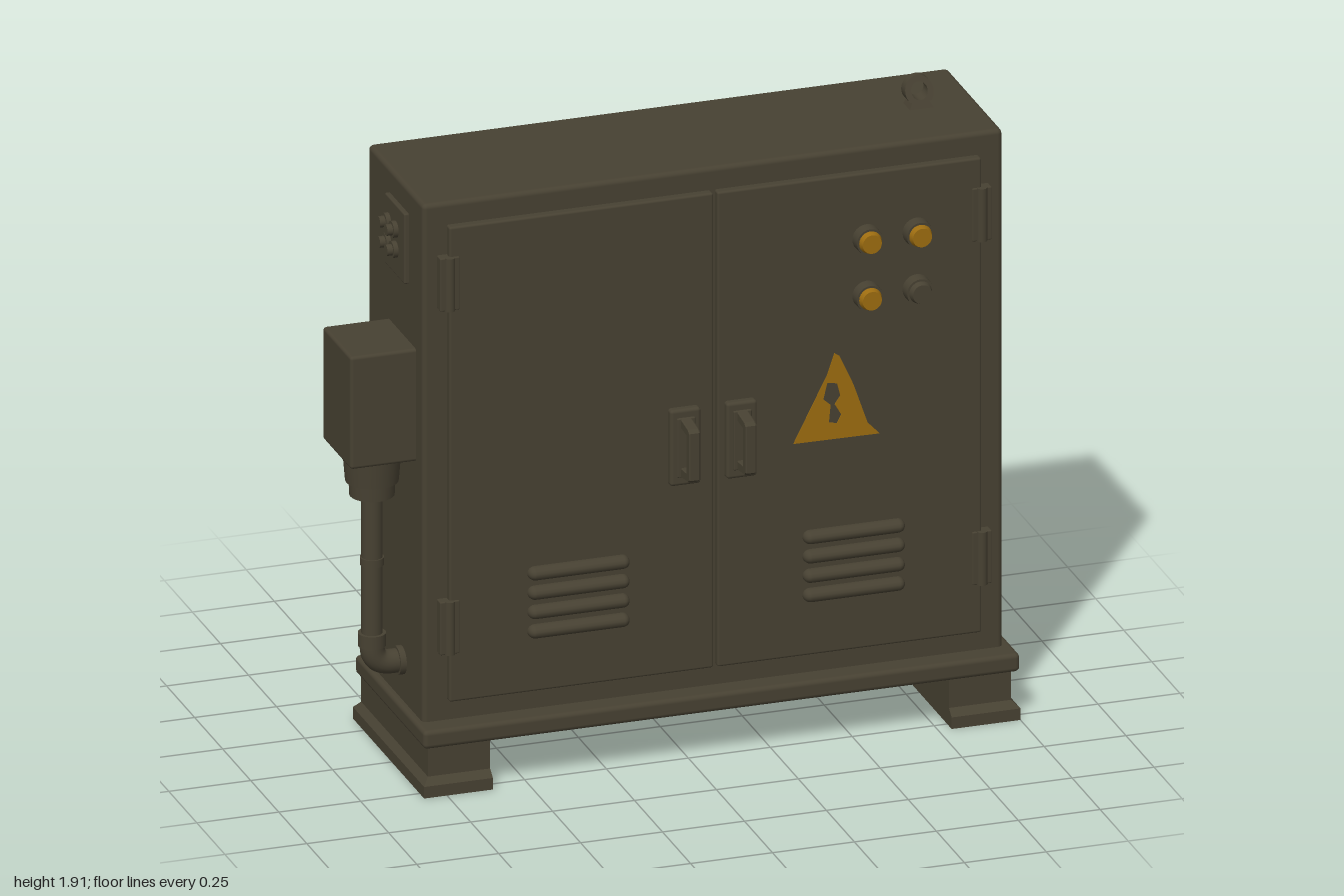
import * as THREE from 'three';
import { RoundedBoxGeometry } from 'three/addons/geometries/RoundedBoxGeometry.js';

export function createModel() {
  const root = new THREE.Group();
  root.name = 'electricalCabinet';
  const paint = new THREE.MeshStandardMaterial({ color: 0x474132 });
  paint.name = 'olive paint';
  const amber = new THREE.MeshStandardMaterial({ color: 0x9c6c10 });
  amber.name = 'amber';
  const CX = 0.085; // centre line of the cabinet

  const add = (name, geo, mat = paint, x = 0, y = 0, z = 0) => {
    const m = new THREE.Mesh(geo, mat);
    m.name = name;
    m.position.set(x, y, z);
    root.add(m);
    return m;
  };
  // Box given by its limits, with optionally rounded edges
  const box = (name, x0, x1, y0, y1, z0, z1, r = 0) => {
    const s = [x1 - x0, y1 - y0, z1 - z0];
    const g = r ? new RoundedBoxGeometry(...s, 2, r) : new THREE.BoxGeometry(...s);
    return add(name, g, paint, (x0 + x1) / 2, (y0 + y1) / 2, (z0 + z1) / 2);
  };
  // Cylinder along y, or turned to face along x or z
  const rod = (name, r0, r1, len, x, y, z, axis = 'y', mat = paint) => {
    const g = new THREE.CylinderGeometry(r1, r0, len, 24);
    if (axis === 'z') g.rotateX(Math.PI / 2);
    if (axis === 'x') g.rotateZ(Math.PI / 2);
    return add(name, g, mat, x, y, z);
  };

  // Body and base
  box('cabinetBody', -0.8, 0.97, 0.19, 1.825, -0.27, 0.22, 0.015);
  box('basePlate', -0.82, 1.0, 0.15, 0.207, -0.33, 0.29, 0.014);

  // Feet with a flange that flares out at the bottom
  for (const s of [-1, 1]) {
    const lim = (a, b) => (s < 0 ? [a, b] : [0.18 - b, 0.18 - a]);
    box('foot', ...lim(-0.8, -0.61), 0.04, 0.152, -0.33, 0.265);
    box('footFlange', ...lim(-0.82, -0.61), 0, 0.036, -0.345, 0.29);
    const flare = new THREE.BoxGeometry(0.21, 0.02, 0.635);
    const p = flare.attributes.position;
    for (let i = 0; i < p.count; i++) {
      if (p.getY(i) < 0) continue;
      p.setZ(i, p.getZ(i) > 0 ? 0.2925 : -0.3025);
      if (p.getX(i) * s > 0) p.setX(i, 0.085 * s);
    }
    flare.computeVertexNormals();
    add('footFlare', flare, paint, 0.09 + s * 0.805, 0.046, -0.0275);
  }

  // Grip: a flat bar bent into a bracket, drawn in z and y
  const grip = new THREE.Shape([[0, -0.09], [0.07, -0.08], [0.08, -0.072], [0.08, 0.072],
    [0.07, 0.08], [0, 0.09]].map(([a, b]) => new THREE.Vector2(a, b)));
  grip.holes.push(new THREE.Path([[0, -0.065], [0, 0.065], [0.058, 0.06], [0.058, -0.06]]
    .map(([a, b]) => new THREE.Vector2(a, b))));
  const gripGeo = new THREE.ExtrudeGeometry(grip, { depth: 0.026, bevelThickness: 0.004, bevelSize: 0.003, bevelSegments: 1 });
  gripGeo.translate(0, 0, -0.013).rotateY(-Math.PI / 2);

  // Doors with hinges, handles and louvres
  for (const s of [-1, 1]) {
    const span = (c, w) => [CX + s * c - w / 2, CX + s * c + w / 2];
    box('door', ...span(0.409, 0.806), 0.27, 1.755, 0.205, 0.245, 0.007);
    for (const y of [0.505, 1.58]) {
      box('hingePlate', ...span(0.812, 0.06), y - 0.083, y + 0.083, 0.21, 0.25, 0.004);
      rod('hingePin', 0.016, 0.016, 0.166, CX + s * 0.812, y, 0.246);
    }
    const hx = 0.0725 + s * 0.086;
    box('handlePlate', hx - 0.047, hx + 0.047, 0.862, 1.1, 0.235, 0.268, 0.01);
    box('handleInset', hx - 0.028, hx + 0.028, 0.89, 1.075, 0.25, 0.274, 0.004);
    add('handleGrip', gripGeo, paint, hx, 0.982, 0.265);
    for (let i = 0; i < 4; i++) {
      const slat = new THREE.CapsuleGeometry(0.021, 0.268, 6, 14).rotateZ(Math.PI / 2);
      slat.scale(1, 1, 1.35);
      add('louvre', slat, paint, CX + s * 0.42, 0.46 + i * 0.0605, 0.247);
    }
  }

  // Indicator lamps: three lit, one dark
  [[0.545, 1.552], [0.698, 1.552], [0.545, 1.375], [0.698, 1.375]].forEach(([x, y], i) => {
    rod('lampBezel', 0.043, 0.041, 0.04, x, y, 0.262, 'z');
    rod('lampLens', 0.035, 0.029, 0.018, x, y, 0.29, 'z', i < 3 ? amber : paint);
  });

  // Warning sign with a cut-out mark
  const pts = (a) => a.map(([x, y]) => new THREE.Vector2(x, y));
  const sign = new THREE.Shape(pts([[0.322, 0.938], [0.585, 0.936], [0.548, 0.975], [0.505, 1.1],
    [0.462, 1.195], [0.447, 1.205], [0.425, 1.14]]));
  sign.holes.push(new THREE.Path(pts([[0.425, 1.115], [0.455, 1.11], [0.465, 1.07], [0.448, 1.045],
    [0.468, 1.01], [0.455, 0.985], [0.43, 0.99], [0.435, 1.045], [0.413, 1.065]])));
  add('warningSign', new THREE.ExtrudeGeometry(sign, { depth: 0.003, bevelEnabled: false }), amber, 0, 0, 0.2445);

  // Lifting lug on the roof: front face leans back towards the ring
  const lug = new THREE.Shape();
  lug.moveTo(-0.038, 0);
  lug.lineTo(0.038, 0);
  lug.lineTo(0.026, 0.022);
  lug.absarc(0, 0.05, 0.043, -0.7, Math.PI + 0.7, false);
  lug.lineTo(-0.026, 0.022);
  const eye = new THREE.Path();
  eye.absarc(0, 0.051, 0.025, 0, Math.PI * 2, true);
  lug.holes.push(eye);
  const lugGeo = new THREE.ExtrudeGeometry(lug, { depth: 0.06, bevelEnabled: false, curveSegments: 20 });
  const lp = lugGeo.attributes.position;
  for (let i = 0; i < lp.count; i++) if (lp.getZ(i) > 0.01) lp.setZ(i, 0.06 - lp.getY(i) * 0.45);
  lugGeo.computeVertexNormals();
  add('liftingLug', lugGeo, paint, 0.798, 1.822, -0.058);

  // Junction box and conduit on the right side
  const px = -0.892, pz = 0.035;
  box('junctionBox', -1.0, -0.79, 1.0, 1.352, -0.09, 0.16, 0.01);
  rod('glandCollar', 0.078, 0.086, 0.095, px, 0.955, pz);
  rod('glandNut', 0.066, 0.068, 0.05, px, 0.888, pz);
  rod('conduit', 0.031, 0.031, 0.5, px, 0.63, pz);
  rod('conduitJoint', 0.035, 0.035, 0.024, px, 0.655, pz);
  rod('elbowCollarTop', 0.041, 0.041, 0.04, px, 0.41, pz);
  const bend = new THREE.CurvePath();
  const v = (x, y) => new THREE.Vector3(x, y, pz);
  bend.add(new THREE.LineCurve3(v(px, 0.41), v(px, 0.39)));
  bend.add(new THREE.QuadraticBezierCurve3(v(px, 0.39), v(px, 0.332), v(-0.834, 0.332)));
  bend.add(new THREE.LineCurve3(v(-0.834, 0.332), v(-0.795, 0.332)));
  add('conduitElbow', new THREE.TubeGeometry(bend, 24, 0.036, 18, false));
  rod('elbowCollarWall', 0.043, 0.043, 0.022, -0.807, 0.332, pz, 'x');

  // Socket panel above the junction box
  box('socketPanel', -0.814, -0.79, 1.53, 1.75, -0.08, 0.095, 0.005);
  for (const y of [1.612, 1.675]) {
    for (const z of [-0.045, 0.02]) {
      rod('socketBase', 0.025, 0.025, 0.02, -0.818, y, z, 'x');
      rod('socketPlug', 0.017, 0.017, 0.04, -0.825, y, z, 'x');
    }
  }
  return root;
}
